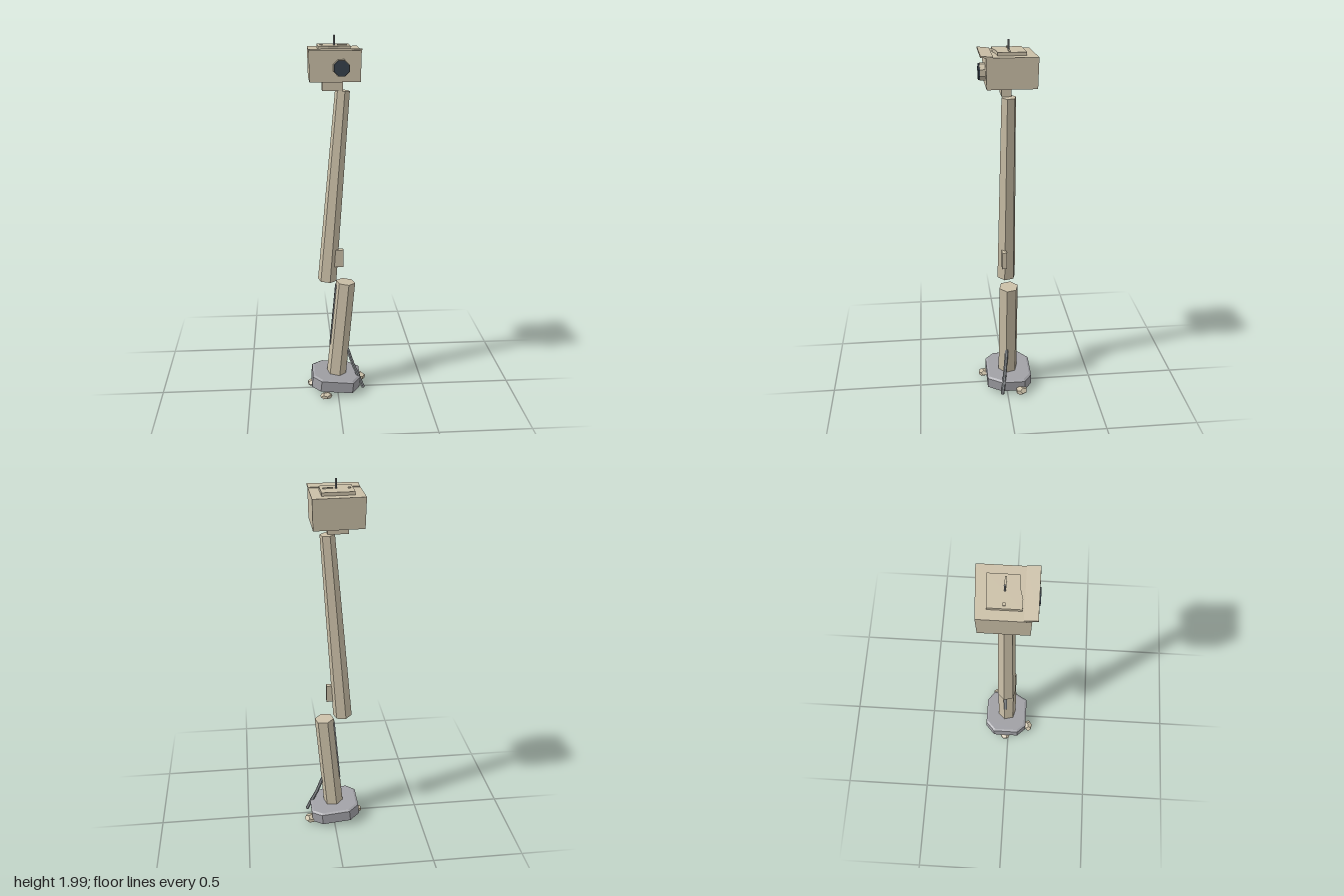
import * as THREE from 'three';

const mat = (name, color) => {
  const m = new THREE.MeshStandardMaterial({ color, flatShading: true });
  m.name = name;
  return m;
};

export function createModel() {
  const tan = mat('weathered tan', 0xcabfa7);
  const grey = mat('concrete grey', 0xa0a0a5);
  const steel = mat('cable grey', 0x8d9194);
  const dark = mat('dark lens', 0x36404c);
  const model = new THREE.Group();
  model.name = 'brokenCameraPost';
  const V = (x, y, z) => new THREE.Vector3(x, y, z);

  const add = (name, geo, material, x = 0, y = 0, z = 0) => {
    const mesh = new THREE.Mesh(geo, material);
    mesh.name = name;
    mesh.position.set(x, y, z);
    model.add(mesh);
    return mesh;
  };
  const box = (name, material, x0, x1, y0, y1, z0, z1) =>
    add(name, new THREE.BoxGeometry(x1 - x0, y1 - y0, z1 - z0), material,
      (x0 + x1) / 2, (y0 + y1) / 2, (z0 + z1) / 2);

  // six-sided pole section between two points
  const pole = (name, a, b, rBottom, rTop) => {
    const dir = b.clone().sub(a);
    const geo = new THREE.CylinderGeometry(rTop, rBottom, dir.length(), 6);
    geo.rotateY(Math.PI / 12);
    const mid = a.clone().add(b).multiplyScalar(0.5);
    const mesh = add(name, geo, tan, mid.x, mid.y, mid.z);
    mesh.quaternion.setFromUnitVectors(V(0, 1, 0), dir.normalize());
  };
  pole('lowerPole', V(-0.006, 0.07, -0.013), V(0.048, 0.663, -0.013), 0.056, 0.054);
  pole('upperPole', V(-0.055, 0.68, -0.01), V(0.028, 1.723, -0.014), 0.052, 0.039);

  // narrow slot cover on the side of the lower pole
  const cover = add('slotCover', new THREE.BoxGeometry(0.008, 0.37, 0.02), steel,
    -0.022, 0.46, -0.022);
  cover.rotation.z = -0.09;

  // small junction box on the upper pole
  box('junctionBox', tan, -0.03, 0.033, 0.765, 0.862, -0.006, 0.02);

  // chamfered, tilted foot
  const outline = [[-0.148, -0.09], [-0.09, -0.143], [0.07, -0.143], [0.126, -0.1],
    [0.126, 0.03], [0.08, 0.11], [-0.1, 0.11], [-0.148, 0.06]];
  const footShape = new THREE.Shape(outline.map(([x, z]) => new THREE.Vector2(x, -z)));
  const footGeo = new THREE.ExtrudeGeometry(footShape, {
    depth: 0.062, bevelEnabled: true, bevelSegments: 1,
    bevelThickness: 0.007, bevelSize: 0.012, bevelOffset: -0.012,
  });
  footGeo.rotateX(-Math.PI / 2);
  const foot = add('foot', footGeo, grey, 0, 0.036, 0);
  foot.rotation.z = -0.1;

  // loose stones around the foot
  [[0.138, 0.032, -0.08, 0.034, 0.022, 0.036, 0.5],
    [-0.142, 0.032, -0.02, 0.03, 0.019, 0.03, 1.2],
    [-0.07, 0.029, 0.127, 0.035, 0.019, 0.028, 0.2],
  ].forEach(([x, y, z, sx, sy, sz, turn]) => {
    const stone = add('stone', new THREE.DodecahedronGeometry(1), tan, x, y, z);
    stone.scale.set(sx, sy, sz);
    stone.rotation.y = turn;
  });

  // cable hanging out of the pole, over the foot to the ground
  const path = new THREE.CatmullRomCurve3([V(0.045, 0.285, -0.005), V(0.063, 0.24, 0),
    V(0.092, 0.155, 0.01), V(0.127, 0.075, 0.022), V(0.149, 0.02, 0.032)]);
  add('cable', new THREE.TubeGeometry(path, 14, 0.01, 6), steel);
  const tip = add('cableEnd', new THREE.CircleGeometry(0.01, 6), steel, 0.149, 0.02, 0.032);
  tip.lookAt(0.171, -0.035, 0.042);

  // neck bracket and camera housing, with a slightly skewed back and narrower floor
  box('neck', tan, -0.078, 0.028, 1.725, 1.78, -0.028, 0.022);
  const bodyGeo = new THREE.BoxGeometry(0.262, 0.155, 0.25);
  const p = bodyGeo.attributes.position;
  for (let i = 0; i < p.count; i++) {
    if (p.getZ(i) < 0) p.setZ(i, p.getZ(i) - p.getX(i) * 0.06);
    if (p.getY(i) < 0) p.setXYZ(i, p.getX(i) * 0.975, p.getY(i), p.getZ(i) * 0.975);
  }
  bodyGeo.computeVertexNormals();
  add('housing', bodyGeo, tan, -0.017, 1.857, -0.02);

  // sun visor, rising slightly towards the front
  const visor = box('visor', tan, -0.145, 0.115, 1.934, 1.942, 0.07, 0.132);
  visor.rotation.x = -0.1;

  // roof hatch with a bent front edge
  const hatchShape = new THREE.Shape([[-0.1, -0.062], [-0.05, -0.062], [0.0, -0.048],
    [0.064, -0.044], [0.064, 0.1], [-0.1, 0.092]].map(([x, y]) => new THREE.Vector2(x, y)));
  const hatchGeo = new THREE.ExtrudeGeometry(hatchShape, { depth: 0.018, bevelEnabled: false });
  hatchGeo.rotateX(-Math.PI / 2);
  add('roofHatch', hatchGeo, tan, 0, 1.933, 0);
  box('hatchStud', tan, -0.087, -0.074, 1.949, 1.957, -0.024, -0.011);
  box('hatchBar', tan, 0.0, 0.05, 1.949, 1.956, -0.021, -0.012);
  add('antenna', new THREE.CylinderGeometry(0.005, 0.005, 0.055, 6), steel, -0.015, 1.9725, -0.017);

  // lens hood and dark lens
  const disc = (name, material, r, z0, z1) => {
    const geo = new THREE.CylinderGeometry(r, r, z1 - z0, 8);
    geo.rotateY(Math.PI / 8).rotateX(Math.PI / 2);
    add(name, geo, material, 0.013, 1.851, (z0 + z1) / 2);
  };
  disc('lensHood', tan, 0.044, 0.09, 0.13);
  disc('lens', dark, 0.041, 0.12, 0.138);

  return model;
}
